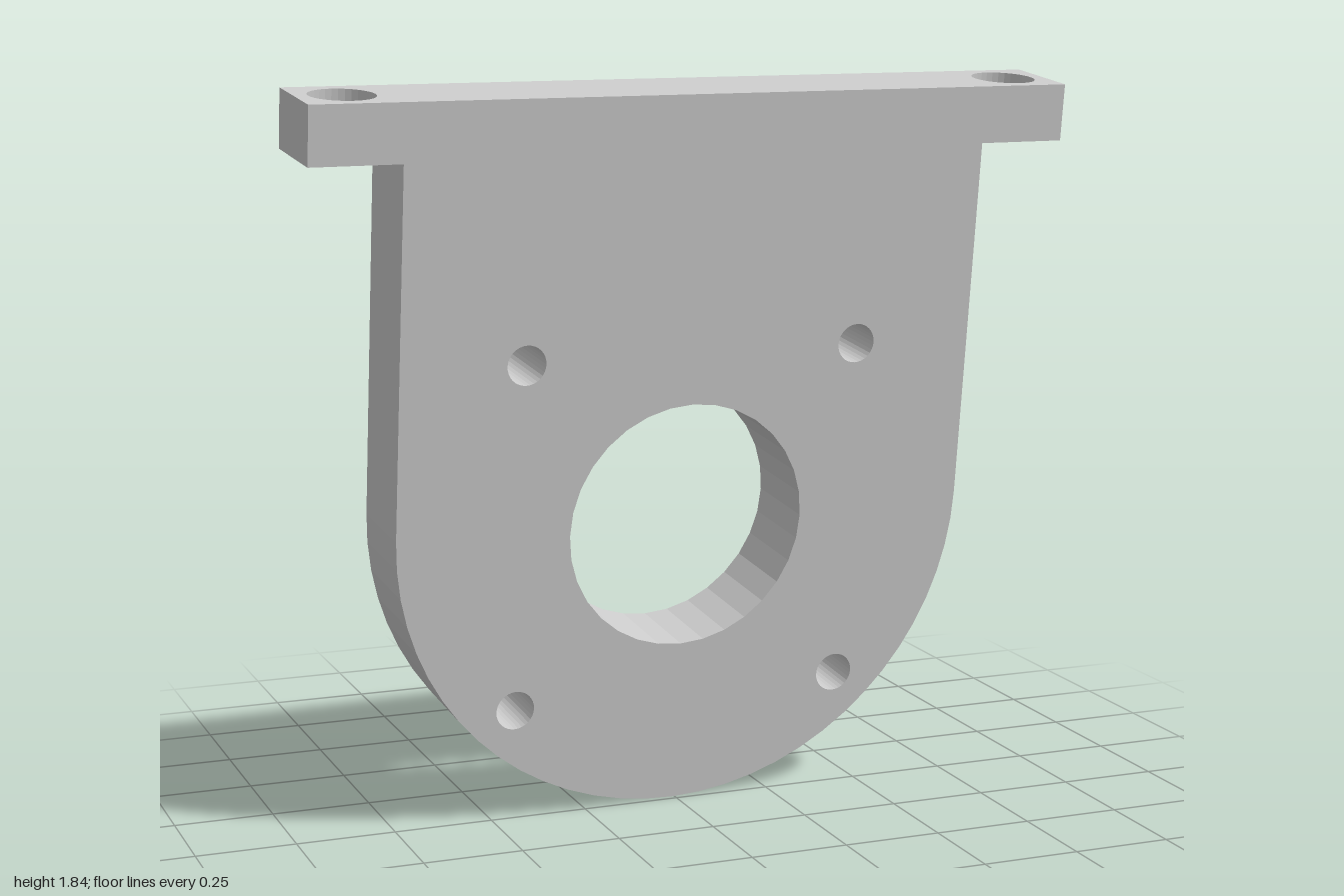
import * as THREE from 'three';

const T = 0.228;          // thickness of plate and bar
const R = 0.766;          // half width of plate = radius of its rounded end
const ARC_Y = 0.77;       // centre height of the rounded end
const BORE_Y = 0.742;     // centre height of the bore and bolt pattern
const BAR_BOTTOM = 1.688, BAR_TOP = 1.832, BAR_HALF = 0.995;

const material = new THREE.MeshStandardMaterial({ color: 0xcccccc, flatShading: true });

function addHole(shape, x, y, r) {
  const hole = new THREE.Path();
  hole.absarc(x, y, r, 0, Math.PI * 2, true);
  shape.holes.push(hole);
}

function extrude(shape, depth, name) {
  const geometry = new THREE.ExtrudeGeometry(shape, { depth, bevelEnabled: false, curveSegments: 16 });
  geometry.translate(0, 0, -depth / 2);
  const mesh = new THREE.Mesh(geometry, material);
  mesh.name = name;
  return mesh;
}

export function createModel() {
  const model = new THREE.Group();
  model.name = 'mountingBracket';

  // Plate: straight sides, rounded lower end, bore and four bolt holes
  const plateShape = new THREE.Shape();
  plateShape.moveTo(R, BAR_BOTTOM);
  plateShape.lineTo(-R, BAR_BOTTOM);
  plateShape.lineTo(-R, ARC_Y);
  plateShape.absarc(0, ARC_Y, R, Math.PI, Math.PI * 2, false);
  plateShape.closePath();
  addHole(plateShape, 0, BORE_Y, 0.316);
  for (const sx of [-1, 1])
    for (const sy of [-1, 1]) addHole(plateShape, sx * 0.445, BORE_Y + sy * 0.445, 0.05);
  model.add(extrude(plateShape, T, 'plate'));

  // Top bar: outlined from above, with a vertical hole at each end
  const barShape = new THREE.Shape();
  barShape.moveTo(-BAR_HALF, -T / 2);
  barShape.lineTo(BAR_HALF, -T / 2);
  barShape.lineTo(BAR_HALF, T / 2);
  barShape.lineTo(-BAR_HALF, T / 2);
  barShape.closePath();
  for (const s of [-1, 1]) addHole(barShape, s * 0.88, 0, 0.081);
  const bar = extrude(barShape, BAR_TOP - BAR_BOTTOM, 'topBar');
  bar.rotation.x = -Math.PI / 2;
  bar.position.y = (BAR_TOP + BAR_BOTTOM) / 2;
  model.add(bar);

  // The whole bracket leans forward and is turned slightly
  model.rotation.order = 'YXZ';
  model.rotation.set(THREE.MathUtils.degToRad(6.8), THREE.MathUtils.degToRad(2.8), 0);
  model.position.set(-0.01, 0.0135, -0.129);

  const root = new THREE.Group();
  root.name = 'bracket';
  root.add(model);
  return root;
}
